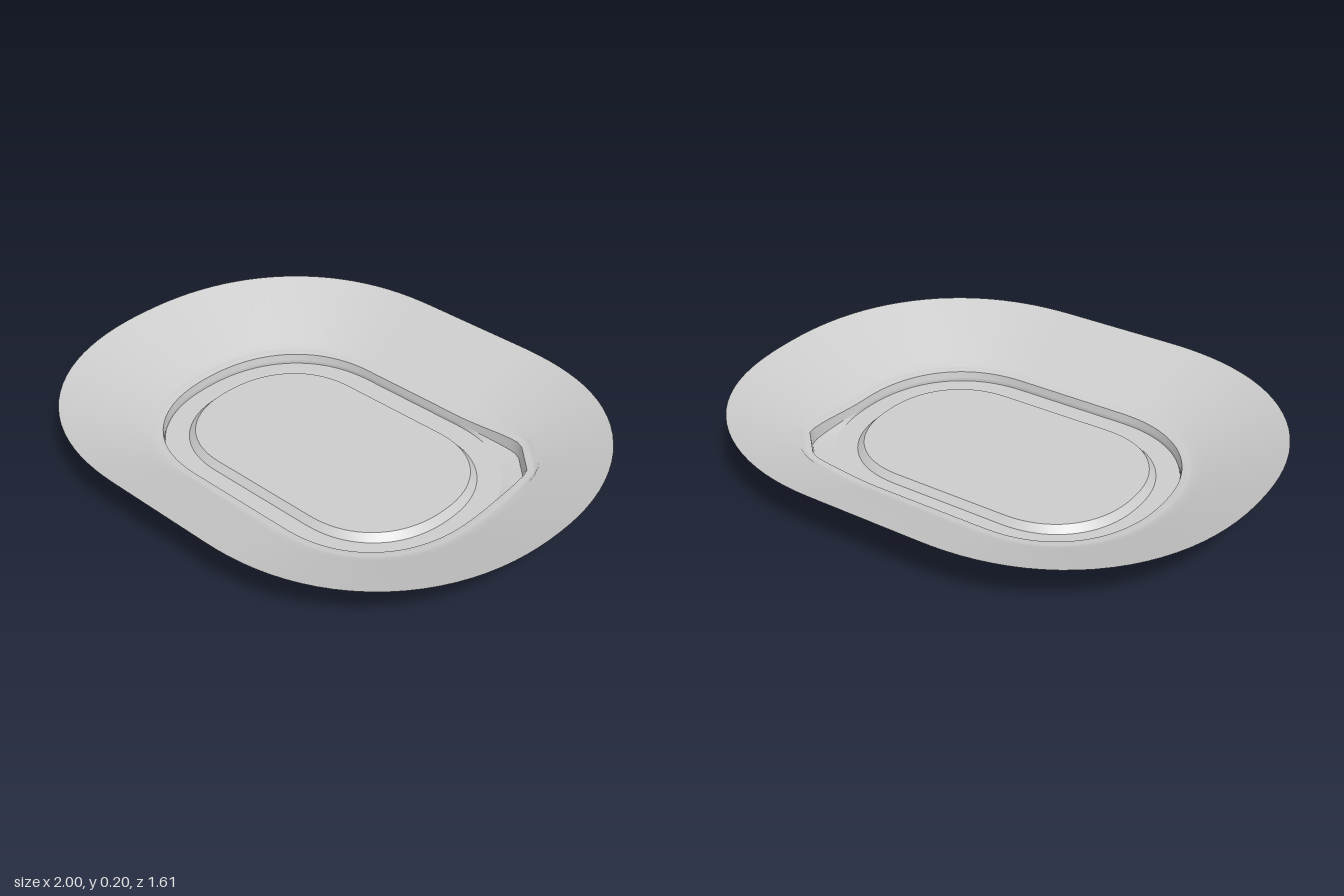
import * as THREE from 'three';

const CX = 0.22; // centre of the rounded ends
const STEPS = 24; // points per corner

// Ring profile, outside to inside: n = squareness and lift = rise at the spout corner
const RINGS = {
  edge: { hx: 1.0, hz: 0.805, y: 0.188, n: 2.2, lift: 0.012 },
  slope: { hx: 0.72, hz: 0.525, y: 0.061, n: 3, lift: 0.022 },
  fillet: { hx: 0.685, hz: 0.49, y: 0.043, n: 4.5, clip: 1.01, lift: 0.025 },
  rimOut: { hx: 0.665, hz: 0.475, y: 0.042, n: 6, clip: 0.99, lift: 0.025 },
  rimIn: { hx: 0.645, hz: 0.455, y: 0.038, n: 6, clip: 0.965, lift: 0.025 },
  spoutBase: { hx: 0.64, hz: 0.45, y: 0.012, n: 6, clip: 0.955, lift: 0 },
  footOut: { hx: 0.64, hz: 0.45, y: 0, n: 2.2, lift: 0 },
  footIn: { hx: 0.56, hz: 0.36, y: 0, n: 2.2, lift: 0 },
  padEdge: { hx: 0.535, hz: 0.338, y: 0.025, n: 2.2, lift: 0 },
  padCentre: { hx: CX, hz: 0, y: 0.025, n: 2.2, lift: 0 },
};

// Closed oval loop; only the first corner (+x, -z) takes the spout shape
function loop({ hx, hz, y, n, clip, lift }) {
  const pts = [];
  for (let q = 0; q < 4; q++) {
    const sx = q === 0 || q === 3 ? 1 : -1;
    const e = q === 0 ? n : 2.2;
    const count = q % 2 ? STEPS : STEPS + 1;
    for (let k = 0; k < count; k++) {
      const a = (q + k / STEPS) * Math.PI / 2;
      const c = Math.cos(a), s = Math.sin(a);
      const r = Math.pow(Math.abs(c) ** e + Math.abs(s) ** e, -1 / e);
      let dx = (hx - CX) * c * r, dz = hz * s * r;
      if (q === 0 && clip) { // cut the corner to a straight pouring lip
        const f = Math.min(1, (clip - CX) / (dx + dz));
        dx *= f;
        dz *= f;
      }
      const rise = q === 0 ? lift * Math.sin(2 * a) ** 2 : 0;
      pts.push([sx * CX + dx, y + rise, -dz]);
    }
  }
  return pts;
}

// Smooth band through the given rings
function band(names) {
  const loops = names.map((name) => loop(RINGS[name]));
  const m = loops[0].length;
  const index = [];
  for (let j = 0; j < loops.length - 1; j++) {
    for (let i = 0; i < m; i++) {
      const a = j * m + i, b = j * m + (i + 1) % m;
      index.push(a, b, a + m, b, b + m, a + m);
    }
  }
  const g = new THREE.BufferGeometry();
  g.setAttribute('position', new THREE.Float32BufferAttribute(loops.flat(2), 3));
  g.setIndex(index);
  g.computeVertexNormals();
  return g;
}

export function createModel() {
  const group = new THREE.Group();
  group.name = 'ovalTray';
  const material = new THREE.MeshStandardMaterial({ color: 0xcccccc, side: THREE.DoubleSide });
  // Parts are split where the surface has a sharp edge
  const parts = {
    flaredBrim: ['edge', 'slope', 'fillet', 'rimOut'],
    rim: ['rimOut', 'rimIn'],
    basinWall: ['rimIn', 'spoutBase'],
    spoutShelf: ['spoutBase', 'footOut'],
    footRing: ['footOut', 'footIn'],
    padStep: ['footIn', 'padEdge'],
    pad: ['padEdge', 'padCentre'],
  };
  for (const [name, rings] of Object.entries(parts)) {
    const mesh = new THREE.Mesh(band(rings), material);
    mesh.name = name;
    group.add(mesh);
  }
  return group;
}
